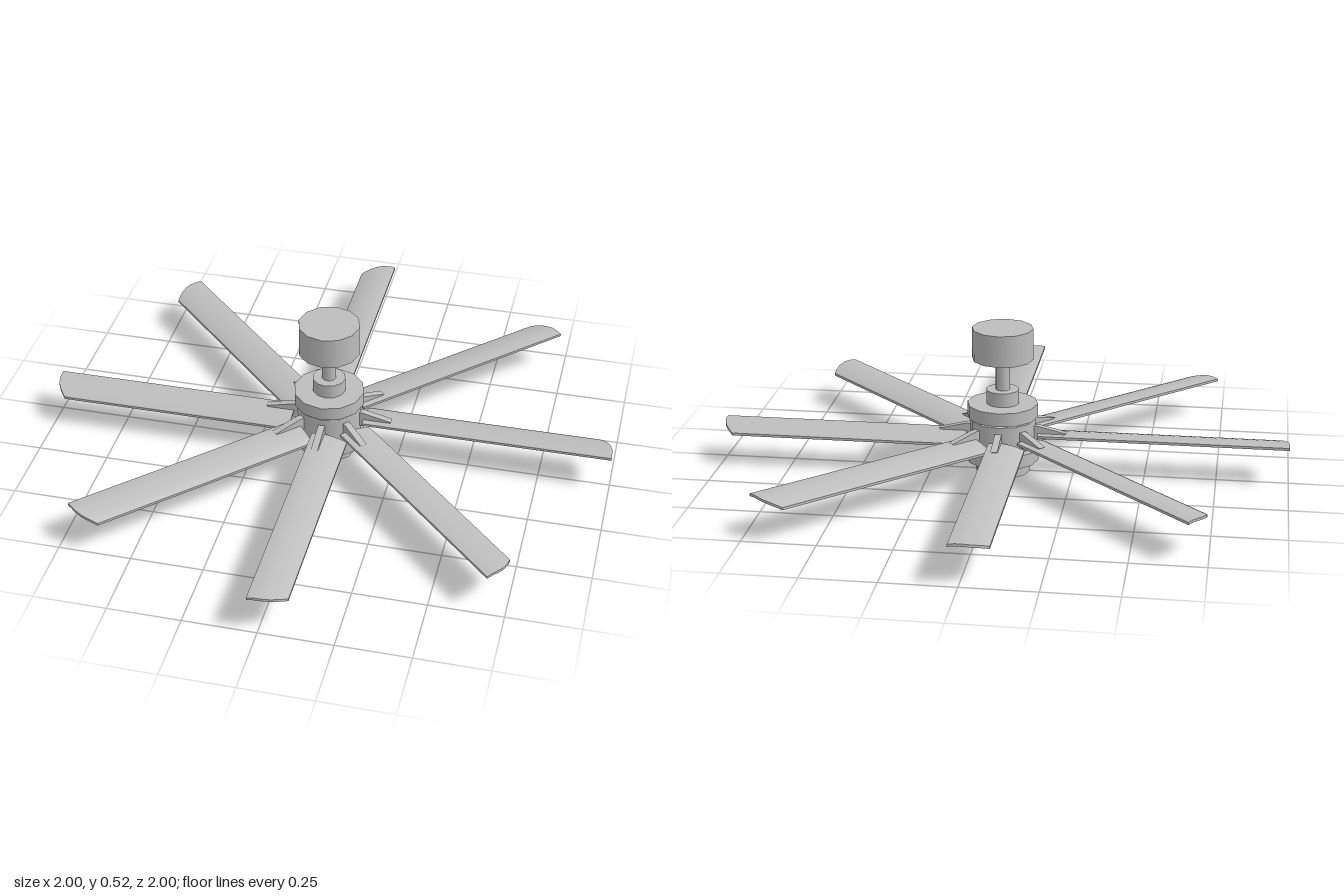
import * as THREE from 'three';
import { toCreasedNormals } from 'three/addons/utils/BufferGeometryUtils.js';

const metal = new THREE.MeshStandardMaterial({ color: 0xbebebe });
metal.name = 'satin grey';

// Upright drum between two heights
function drum(name, radius, y0, y1, sides = 12) {
  const mesh = new THREE.Mesh(new THREE.CylinderGeometry(radius, radius, y1 - y0, sides), metal);
  mesh.position.y = (y0 + y1) / 2;
  mesh.name = name;
  return mesh;
}

// Arched blade pointing along +x, lofted across its width: [z, top y, tip x]
function bladeGeometry() {
  const inner = 0.125, thick = 0.009;
  const stations = [
    [0.033, 0.141, 1], [0.01, 0.144, 0.999], [-0.015, 0.143, 0.997],
    [-0.04, 0.139, 0.99], [-0.06, 0.134, 0.979], [-0.078, 0.128, 0.966], [-0.092, 0.121, 0.953],
  ];
  const rings = stations.map(([z, y, tip]) => [
    [inner, y, z], [tip, y, z], [tip, y - thick, z], [inner, y - thick, z],
  ]);
  const pos = [];
  const quad = (a, b, c, d) => pos.push(...a, ...b, ...c, ...a, ...c, ...d);
  for (let k = 0; k < rings.length - 1; k++) {
    for (let j = 0; j < 4; j++) {
      const n = (j + 1) % 4;
      quad(rings[k][j], rings[k][n], rings[k + 1][n], rings[k + 1][j]);
    }
  }
  const first = rings[0], last = rings[rings.length - 1];
  quad(first[3], first[2], first[1], first[0]);
  quad(last[0], last[1], last[2], last[3]);
  const geo = new THREE.BufferGeometry();
  geo.setAttribute('position', new THREE.Float32BufferAttribute(pos, 3));
  return toCreasedNormals(geo, 0.6);
}

// Tapered arm that holds a blade
function bracketGeometry() {
  const side = new THREE.Shape([
    [0.09, 0.115], [0.125, 0.115], [0.21, 0.137], [0.225, 0.147], [0.125, 0.171], [0.09, 0.171],
  ].map(([x, y]) => new THREE.Vector2(x, y)));
  const geo = new THREE.ExtrudeGeometry(side, { depth: 0.024, bevelEnabled: false });
  return geo.translate(0, 0, -0.012);
}

export function createModel() {
  const fan = new THREE.Group();
  fan.name = 'ceilingFan';

  // Ceiling mount, rod and motor stack
  fan.add(
    drum('ceilingCanopy', 0.107, 0.411, 0.522),
    drum('downRod', 0.025, 0.29, 0.42),
    drum('rodCollar', 0.058, 0.24, 0.3),
    drum('upperHousing', 0.124, 0.202, 0.25),
    drum('upperGroove', 0.1, 0.185, 0.21),
    drum('bladeHub', 0.115, 0.1, 0.194),
    drum('lowerGroove', 0.1, 0.08, 0.11),
    drum('lowerHousing', 0.127, 0.043, 0.089),
    drum('bottomCap', 0.096, 0, 0.05),
  );

  // Eight blades with their brackets
  const blade = bladeGeometry(), bracket = bracketGeometry();
  for (let i = 0; i < 8; i++) {
    const arm = new THREE.Group();
    arm.name = 'bladeArm';
    const b = new THREE.Mesh(blade, metal);
    b.name = 'blade';
    const h = new THREE.Mesh(bracket, metal);
    h.name = 'bladeBracket';
    arm.add(b, h);
    arm.rotation.y = (i * Math.PI) / 4;
    fan.add(arm);
  }
  return fan;
}
